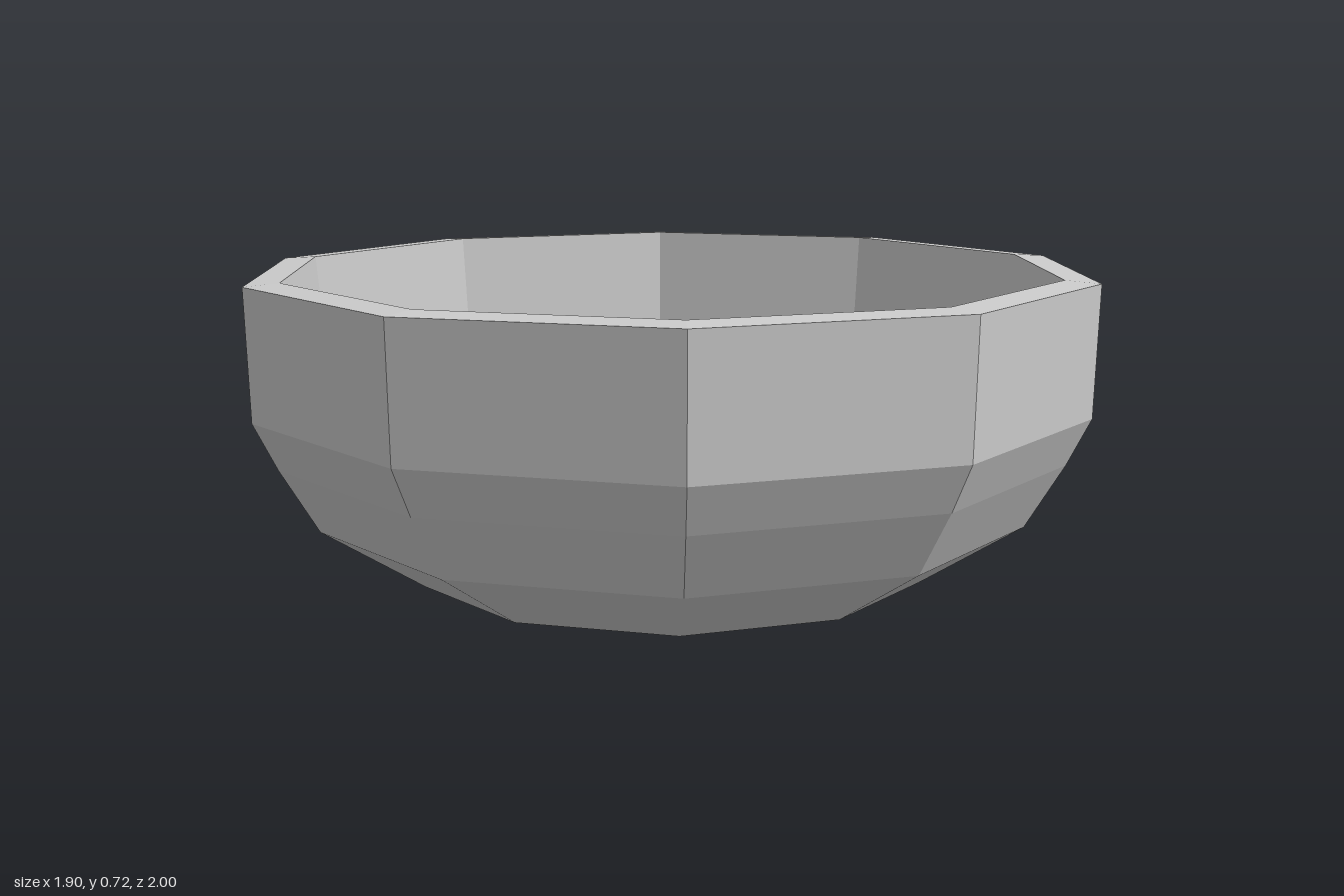
import * as THREE from 'three';

const SIDES = 10;

// Closed cross-section, from the underside centre up the outside, over the rim and down the inside.
const outer = [[0, 0], [0.605, 0], [0.845, 0.15], [0.935, 0.3], [0.99, 0.41], [1, 0.716]];
const inner = [[0.918, 0.722], [0.89, 0.437], [0.855, 0.335], [0.77, 0.217], [0.56, 0.09], [0, 0.09]];

export function createModel() {
  const group = new THREE.Group();
  group.name = 'bowl';

  // Ten-sided faceted shell with a corner facing front
  const profile = [...outer, ...inner].map(([r, y]) => new THREE.Vector2(r, y));
  const geometry = new THREE.LatheGeometry(profile, SIDES).toNonIndexed();
  geometry.computeVertexNormals();
  const shell = new THREE.Mesh(
    geometry,
    new THREE.MeshStandardMaterial({ color: 0xcccccc, flatShading: true })
  );
  shell.name = 'bowlShell';
  group.add(shell);

  return group;
}
